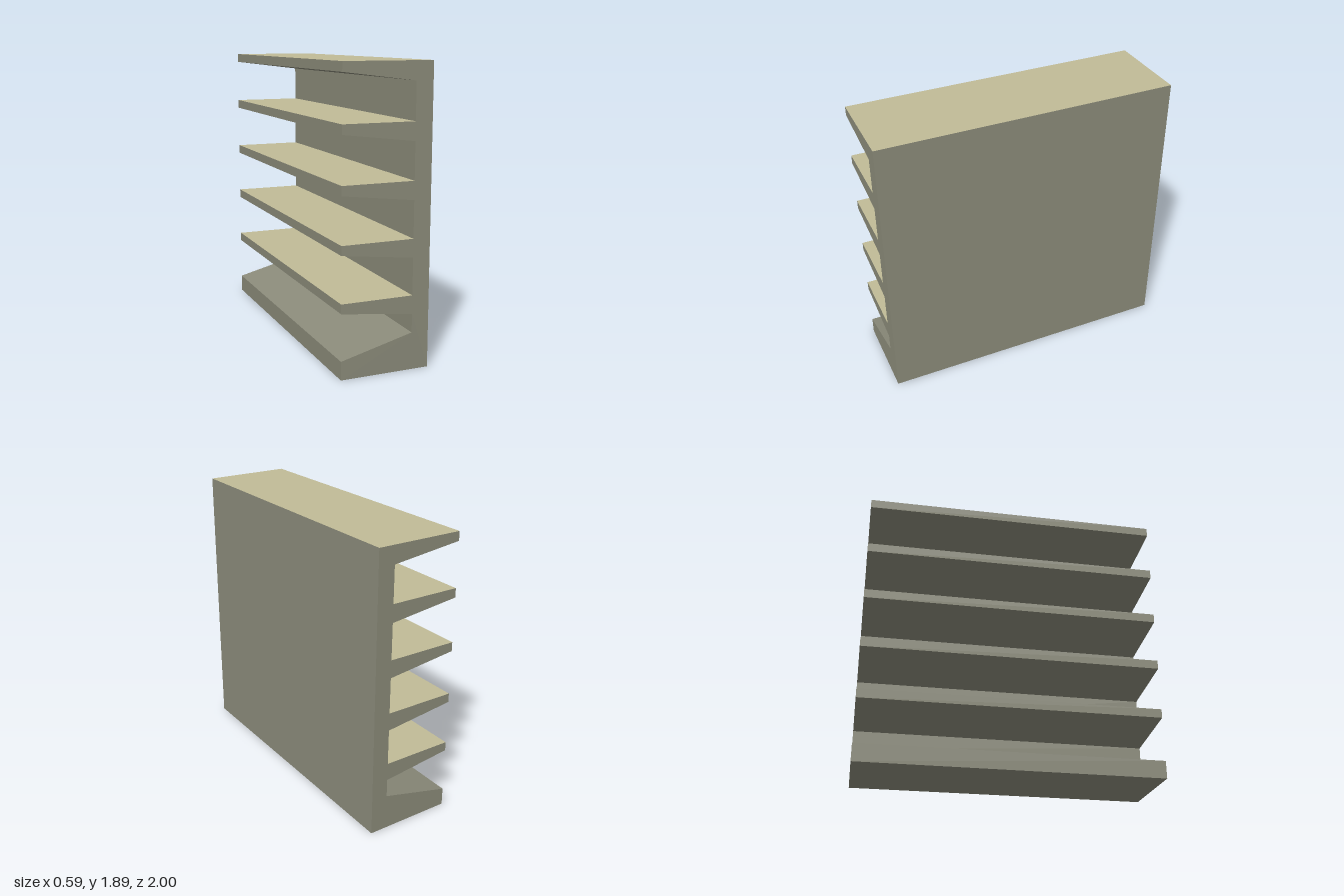
import * as THREE from 'three';

const LENGTH = 2, HEIGHT = 1.89, HALF_WIDTH = 0.293, WALL_X = 0.18;
const FINS = 5, PITCH = 0.354, TIP = 0.06, ROOT = 0.117;

// Comb-shaped section: back wall, tapered fins and a sloped base
function sectionShape() {
  const points = [
    [-HALF_WIDTH, 0], [HALF_WIDTH, 0], [HALF_WIDTH, HEIGHT],
  ];
  for (let i = 0; i < FINS; i++) {
    const top = HEIGHT - i * PITCH;
    if (i > 0) points.push([WALL_X, top]);
    points.push([-HALF_WIDTH, top], [-HALF_WIDTH, top - TIP], [WALL_X, top - ROOT]);
  }
  points.push([WALL_X, 0.237], [-HALF_WIDTH, 0.118]);
  return new THREE.Shape(points.map(([x, y]) => new THREE.Vector2(x, y)));
}

// Material 1 on level, upward faces; material 0 on all others
function groupLevelTops(geometry) {
  const normal = geometry.attributes.normal;
  geometry.clearGroups();
  for (let i = 0; i < normal.count; i += 3) {
    geometry.addGroup(i, 3, normal.getY(i) > 0.99 ? 1 : 0);
  }
  return geometry;
}

export function createModel() {
  const group = new THREE.Group();
  group.name = 'finnedBlock';

  const bodyGrey = new THREE.MeshStandardMaterial({ color: 0x8b8b7a });
  bodyGrey.name = 'bodyGrey';
  const shelfTan = new THREE.MeshStandardMaterial({ color: 0xc0bb97 });
  shelfTan.name = 'shelfTan';

  const geometry = new THREE.ExtrudeGeometry(sectionShape(), {
    depth: LENGTH, bevelEnabled: false,
  });
  geometry.translate(0, 0, -LENGTH / 2);

  const body = new THREE.Mesh(groupLevelTops(geometry), [bodyGrey, shelfTan]);
  body.name = 'wallWithFins';
  group.add(body);
  return group;
}
